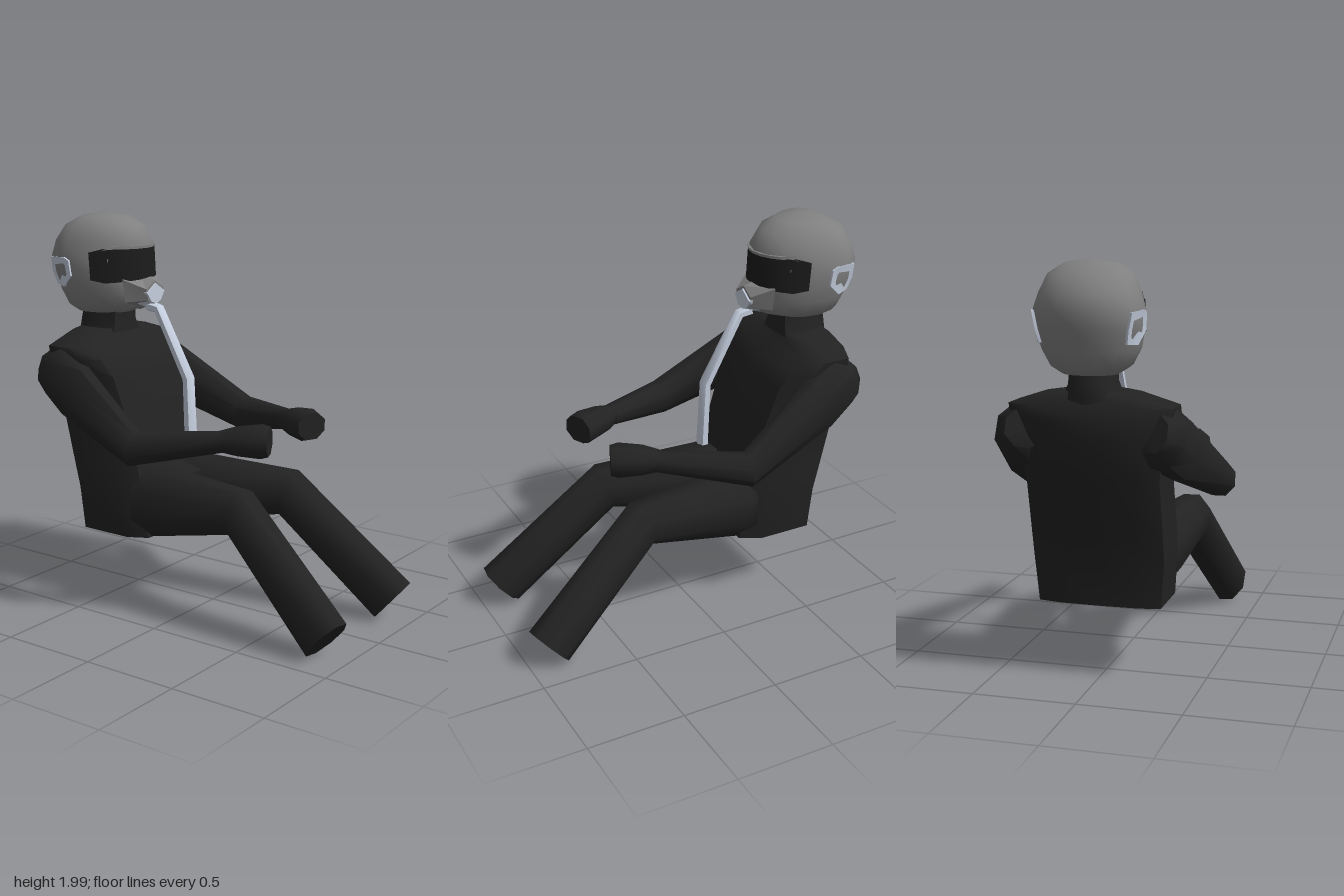
import * as THREE from 'three';
import { toCreasedNormals } from 'three/addons/utils/BufferGeometryUtils.js';

const mat = (color) => new THREE.MeshStandardMaterial({ color, roughness: 0.9 });
const V = (x, y, z) => new THREE.Vector3(x, y, z);

// Closed skin over a row of rings, capped at both ends, always facing outwards
function loft(rings, crease = 1) {
  const n = rings[0].length, pts = rings.flat(), idx = [];
  for (let r = 0; r < rings.length - 1; r++) {
    for (let i = 0; i < n; i++) {
      const a = r * n + i, b = r * n + (i + 1) % n;
      idx.push(a, b, a + n, b, b + n, a + n);
    }
  }
  [0, rings.length - 1].forEach((r, end) => {
    const c = V(0, 0, 0);
    rings[r].forEach((p) => c.addScaledVector(p, 1 / n));
    const k = pts.push(c) - 1;
    for (let i = 0; i < n; i++) {
      const a = r * n + i, b = r * n + (i + 1) % n;
      if (end) idx.push(a, b, k); else idx.push(b, a, k);
    }
  });
  let volume = 0;
  for (let i = 0; i < idx.length; i += 3) {
    volume += pts[idx[i]].dot(V(0, 0, 0).crossVectors(pts[idx[i + 1]], pts[idx[i + 2]]));
  }
  if (volume < 0) idx.reverse();
  const g = new THREE.BufferGeometry().setFromPoints(pts);
  g.setIndex(idx);
  return toCreasedNormals(g.toNonIndexed(), crease);
}

// Limb along stations [x, y, z, half width, half height]; side mirrors x
function limb(stations, sides, side = 1) {
  const P = stations.map(([x, y, z]) => V(x * side, y, z));
  const rings = stations.map(([, , , rw, rh], i) => {
    const dir = V(0, 0, 0);
    if (i > 0) dir.add(P[i].clone().sub(P[i - 1]).normalize());
    if (i < P.length - 1) dir.add(P[i + 1].clone().sub(P[i]).normalize());
    dir.normalize();
    const across = V(1, 0, 0).addScaledVector(dir, -dir.x).normalize();
    const up = V(0, 0, 0).crossVectors(dir, across);
    const k = 1 / Math.cos(Math.PI / sides);
    return Array.from({ length: sides }, (_, j) => {
      const a = (j + 0.5) / sides * Math.PI * 2;
      return P[i].clone().addScaledVector(across, Math.cos(a) * rw * k)
        .addScaledVector(up, Math.sin(a) * rh * k);
    });
  });
  return loft(rings);
}

// Torso section: flat chest, straight flanks, back corners rounded by share r
function torsoRing([y, w, zb, zf, r]) {
  const d = zf - zb;
  const half = [[0.82, zf], [1, zf - 0.25 * d], [1, zb + r * d], [0.65, zb + 0.2 * r * d]];
  return [V(0, y, zf), ...half.map(([k, z]) => V(w * k, y, z)), V(0, y, zb),
    ...half.reverse().map(([k, z]) => V(-w * k, y, z))];
}

// Helmet rows: height, half width, back, front
const HELMET = [
  [1.49, 0.13, -0.84, -0.55], [1.525, 0.185, -0.89, -0.45], [1.6, 0.225, -0.92, -0.41],
  [1.7, 0.25, -0.955, -0.425], [1.78, 0.255, -0.97, -0.43], [1.86, 0.228, -0.955, -0.425],
  [1.94, 0.195, -0.895, -0.475], [1.985, 0.13, -0.81, -0.56], [2.0, 0.04, -0.74, -0.66],
];

// Point on the helmet at an angle from the front, pushed out by off
function shell(angle, y, off = 0) {
  let i = 0;
  while (i < HELMET.length - 2 && y > HELMET[i + 1][0]) i++;
  const t = (y - HELMET[i][0]) / (HELMET[i + 1][0] - HELMET[i][0]);
  const [w, zb, zf] = [1, 2, 3].map((k) => THREE.MathUtils.lerp(HELMET[i][k], HELMET[i + 1][k], t));
  const zc = zb + (zf - zb) * 0.36, c = Math.cos(angle);
  return V((w + off) * Math.sin(angle), y, zc + c * ((c > 0 ? zf - zc : zc - zb) + off));
}

export function createModel() {
  const model = new THREE.Group();
  const suit = mat(0x222222), grey = mat(0x808080), dark = mat(0x1c1c1c), pale = mat(0xc4cddd);
  const add = (name, geometry, material) => {
    const mesh = new THREE.Mesh(geometry, material);
    mesh.name = name;
    model.add(mesh);
  };

  // Body, leaning back and broadening into the shoulders
  add('torso', loft([
    [0.37, 0.3, -0.64, -0.23, 0.06], [0.6, 0.32, -0.66, -0.26, 0.08], [0.72, 0.32, -0.7, -0.28, 0.1],
    [1.0, 0.32, -0.785, -0.36, 0.14], [1.2, 0.345, -0.85, -0.42, 0.2], [1.29, 0.385, -0.848, -0.47, 0.25],
    [1.345, 0.39, -0.835, -0.53, 0.25], [1.395, 0.24, -0.81, -0.57, 0.25], [1.41, 0.13, -0.8, -0.58, 0.3],
  ].map(torsoRing)), suit);
  add('neck', loft([
    [1.36, 0.14, -0.83, -0.56, 0.32], [1.44, 0.105, -0.83, -0.57, 0.32], [1.54, 0.1, -0.81, -0.57, 0.32],
  ].map(torsoRing)), suit);

  // Front of the pelvis, filling the gap between the thighs
  const section = (z, pts) => pts.map(([x, y]) => V(x, y, z));
  add('lap', loft([
    section(-0.3, [[-0.2, 0.72], [0.2, 0.72], [0.2, 0.38], [0, 0.37], [-0.2, 0.38]]),
    section(-0.13, [[-0.13, 0.68], [0.13, 0.68], [0.13, 0.45], [0, 0.39], [-0.13, 0.45]]),
  ], 0.5), suit);

  for (const [label, s] of [['left', 1], ['right', -1]]) {
    // Arms reach forward and inward, ending in closed fists
    add(label + 'Arm', limb([
      [0.3, 1.235, -0.795, 0.09, 0.09], [0.335, 1.205, -0.72, 0.125, 0.14],
      [0.39, 1.125, -0.58, 0.08, 0.14], [0.475, 0.913, -0.135, 0.076, 0.085],
      [0.285, 0.97, 0.27, 0.05, 0.05],
    ], 8, s), suit);
    add(label + 'Hand', limb([
      [0.29, 0.97, 0.25, 0.05, 0.048], [0.25, 0.975, 0.33, 0.075, 0.068],
      [0.205, 0.98, 0.44, 0.09, 0.078], [0.19, 0.98, 0.475, 0.08, 0.068],
    ], 8, s), suit);
    // Bent leg, cut off square at the ankle
    add(label + 'Leg', limb([
      [0.155, 0.55, -0.29, 0.15, 0.178], [0.16, 0.55, -0.24, 0.15, 0.178],
      [0.22, 0.603, 0.325, 0.107, 0.117], [0.32, 0.108, 0.892, 0.092, 0.125],
    ], 8, s), suit);
  }

  // Helmet shell
  add('helmet', loft(HELMET.map(([y]) => Array.from({ length: 16 },
    (_, i) => shell(i / 16 * Math.PI * 2, y)))), grey);

  // Wraparound visor with cut corners, under a thin brow
  const band = (span, count, lo, hi, out) => Array.from({ length: count }, (_, i) => {
    const u = i / (count - 1) * 2 - 1, a = u * span, cut = Math.abs(u) === 1 ? 0.02 : 0;
    return [shell(a, lo(u) + cut, out), shell(a, hi - cut, out),
      shell(a, hi - cut, -0.03), shell(a, lo(u) + cut, -0.03)];
  });
  add('visor', loft(band(1.13, 11, (u) => 1.655 + 0.025 * (1 - Math.abs(u)), 1.835, 0.007), 0.6), dark);
  add('visorBrow', loft(band(0.95, 9, () => 1.833, 1.847, 0.009), 0.6), grey);

  // Chin guard tapering to the mouthpiece
  add('chinGuard', loft([
    section(-0.47, [[0, 1.7], [0.14, 1.68], [0.12, 1.56], [0, 1.51], [-0.12, 1.56], [-0.14, 1.68]]),
    section(-0.37, [[0, 1.67], [0.07, 1.63], [0.055, 1.57], [0, 1.55], [-0.055, 1.57], [-0.07, 1.63]]),
  ], 0.3), grey);
  add('mouthpiece', loft([
    section(-0.43, [[0, 1.665], [0.085, 1.62], [0.065, 1.55], [0, 1.525], [-0.065, 1.55], [-0.085, 1.62]]),
    section(-0.362, [[0, 1.655], [0.07, 1.61], [0.04, 1.565], [0, 1.55], [-0.04, 1.565], [-0.07, 1.61]]),
  ], 0.3), pale);

  // Breathing hose hanging to the lap
  add('hose', limb([
    [0, 1.535, -0.41, 0.028, 0.024], [0, 1.525, -0.345, 0.028, 0.024],
    [0, 1.18, -0.155, 0.032, 0.024], [0, 0.845, -0.14, 0.034, 0.026],
  ], 6), pale);

  // Ear pads following the helmet sides, as [angle, height]
  const pad = [[1.44, 1.77], [1.52, 1.785], [2.06, 1.78], [2.15, 1.7],
    [2.14, 1.635], [1.77, 1.63], [1.45, 1.69]];
  for (const [label, s] of [['left', 1], ['right', -1]]) {
    const ring = (off) => pad.map(([a, y]) => shell(s * a, y, off));
    add(label + 'EarPad', loft([ring(-0.03), ring(0.01)], 0.5), pale);
  }
  return model;
}
